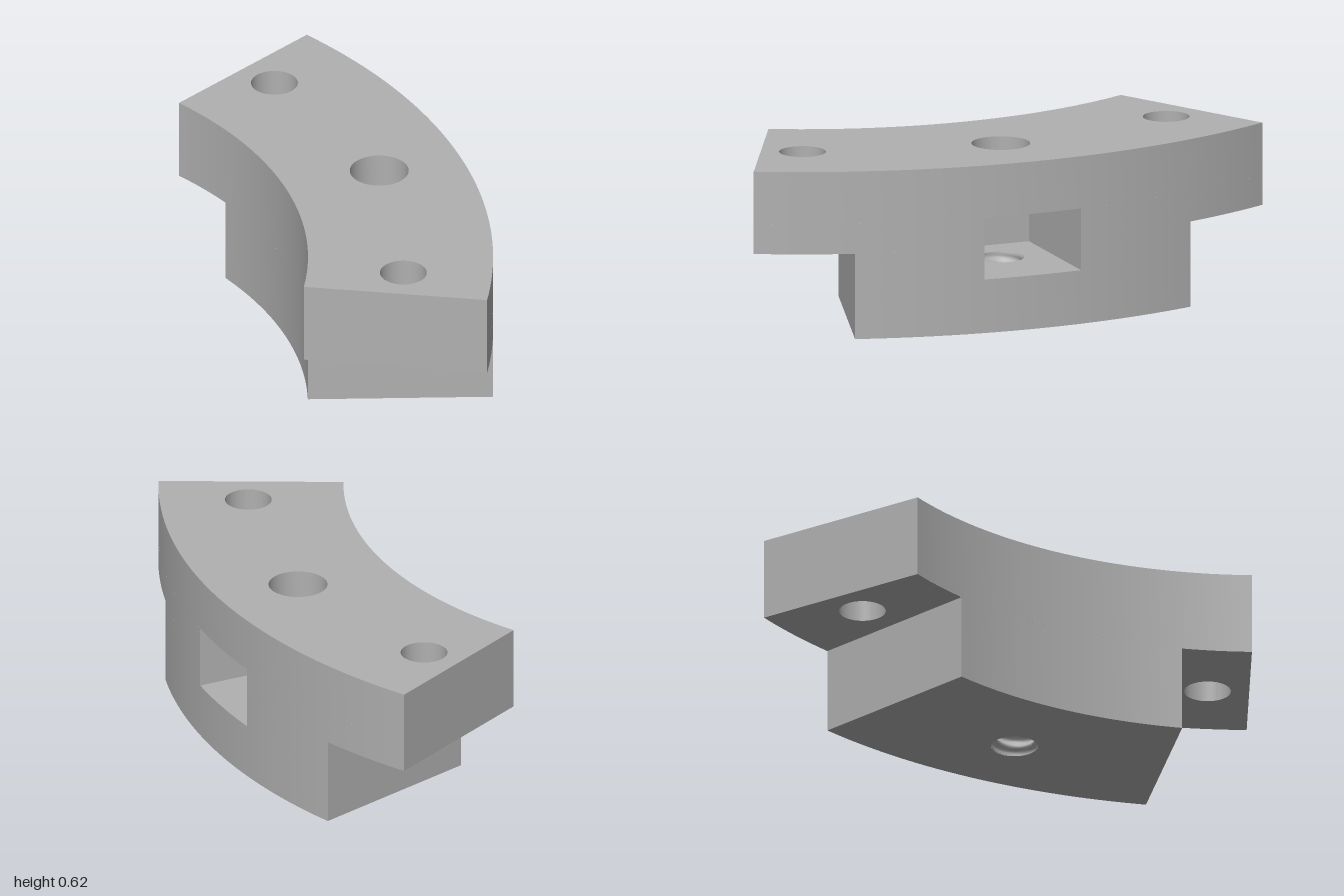
import * as THREE from 'three';
import { mergeGeometries, toCreasedNormals } from 'three/addons/utils/BufferGeometryUtils.js';

// Ring segment: arc centre and radii, heights of each level
const CX = -1.767, R_OUT = 2.187, R_IN = 1.515;
const TOP_ANGLE = Math.asin(1 / R_OUT), BASE_ANGLE = Math.asin(0.66 / R_OUT);
const SLOT_HALF = 0.19, SLOT_ANGLE = Math.asin(SLOT_HALF / R_OUT), SLOT_BACK = -0.08;
const Y_SLOT0 = 0.2, Y_SHELF = 0.318, Y_SLOT1 = 0.43, Y_TOP = 0.625;
const BOLT_X = 0.11, SCREW_R = 0.085;

function arc(r, from, to, n = 48) {
  return Array.from({ length: n + 1 }, (_, i) => {
    const a = from + (to - from) * i / n;
    return new THREE.Vector2(CX + r * Math.cos(a), r * Math.sin(a));
  });
}

const slotBack = [new THREE.Vector2(SLOT_BACK, -SLOT_HALF), new THREE.Vector2(SLOT_BACK, SLOT_HALF)];

// Plan outline, optionally notched by the slot in the outer face
function plan(a, notched) {
  const outer = notched
    ? [...arc(R_OUT, -a, -SLOT_ANGLE, 24), ...slotBack, ...arc(R_OUT, SLOT_ANGLE, a, 24)]
    : arc(R_OUT, -a, a);
  return new THREE.Shape([...outer, ...arc(R_IN, a, -a)]);
}

function drill(shape, x, z, r) {
  shape.holes.push(new THREE.Path().absarc(x, z, r, 0, Math.PI * 2, true));
  return shape;
}

function drillEnds(shape) {
  for (const s of [-1, 1]) drill(shape, -0.045, s * 0.715, 0.085);
  return shape;
}

// Vertical walls of a plan, without its end caps
function walls(shape, y0, y1) {
  const full = new THREE.ExtrudeGeometry(shape, { depth: y1 - y0, bevelEnabled: false, curveSegments: 24 });
  const { start, count } = full.groups[1];
  const g = new THREE.BufferGeometry();
  for (const [name, size] of [['position', 3], ['normal', 3], ['uv', 2]]) {
    const part = full.attributes[name].array.slice(start * size, (start + count) * size);
    g.setAttribute(name, new THREE.BufferAttribute(part, size));
  }
  return g.rotateX(-Math.PI / 2).translate(0, y0, 0);
}

// Flat horizontal face looking up or down
function cap(shape, y, up) {
  return new THREE.ShapeGeometry(shape, 24).toNonIndexed()
    .rotateX(up ? -Math.PI / 2 : Math.PI / 2).translate(0, y, 0);
}

// Threaded bore: an inward-facing cylinder with a helical ridge
function threadedBore() {
  const g = new THREE.CylinderGeometry(SCREW_R, SCREW_R, Y_SLOT0, 32, 32, true);
  const p = g.attributes.position;
  for (let i = 0; i < p.count; i++) {
    const turn = (i % 33) / 32, t = p.getY(i) / Y_SLOT0 + 0.5;
    const phase = t * 4 - turn;
    const ridge = 0.5 - 0.5 * Math.cos(phase * Math.PI * 2);
    const fade = Math.min(1, t * 8, (1 - t) * 8);
    const k = 1 - 0.17 * ridge * fade;
    p.setX(i, p.getX(i) * k);
    p.setZ(i, p.getZ(i) * k);
  }
  const idx = g.index.array;
  for (let i = 0; i < idx.length; i += 3) [idx[i], idx[i + 1]] = [idx[i + 1], idx[i]];
  g.computeVertexNormals();
  return g.translate(BOLT_X, Y_SLOT0 / 2, 0);
}

export function createModel() {
  const group = new THREE.Group();
  const grey = new THREE.MeshStandardMaterial({ color: 0xb0b0b0 });
  grey.name = 'plain grey';
  const add = (name, geometry) => {
    const mesh = new THREE.Mesh(geometry, grey);
    mesh.name = name;
    group.add(mesh);
  };
  const solid = (...parts) => toCreasedNormals(mergeGeometries(parts), 0.5);

  // Narrow lower block
  add('lowerBlock', solid(
    cap(drill(plan(BASE_ANGLE), BOLT_X, 0, SCREW_R), 0, false),
    walls(plan(BASE_ANGLE), 0, Y_SLOT0),
    walls(plan(BASE_ANGLE, true), Y_SLOT0, Y_SHELF)));

  // Wide upper block with end holes and central bolt hole
  add('upperBlock', solid(
    walls(drillEnds(plan(TOP_ANGLE, true)), Y_SHELF, Y_SLOT1),
    walls(drill(drillEnds(plan(TOP_ANGLE)), BOLT_X, 0, 0.107), Y_SLOT1, Y_TOP),
    cap(drill(drillEnds(plan(TOP_ANGLE)), BOLT_X, 0, 0.107), Y_TOP, true)));

  // Undersides of the two overhanging ends
  for (const s of [-1, 1]) {
    const [lo, hi] = s > 0 ? [BASE_ANGLE, TOP_ANGLE] : [-TOP_ANGLE, -BASE_ANGLE];
    const shelf = new THREE.Shape([...arc(R_OUT, lo, hi, 16), ...arc(R_IN, hi, lo, 16)]);
    add(s > 0 ? 'frontShelf' : 'backShelf', cap(drill(shelf, -0.045, s * 0.715, 0.085), Y_SHELF, false));
  }

  // Floor and ceiling of the nut slot
  const slot = () => new THREE.Shape([...slotBack].concat(arc(R_OUT, SLOT_ANGLE, -SLOT_ANGLE, 16)));
  add('slotFloor', cap(drill(slot(), BOLT_X, 0, SCREW_R), Y_SLOT0, true));
  add('slotCeiling', cap(drill(slot(), BOLT_X, 0, 0.107), Y_SLOT1, false));

  add('threadedBore', threadedBore());
  return group;
}
